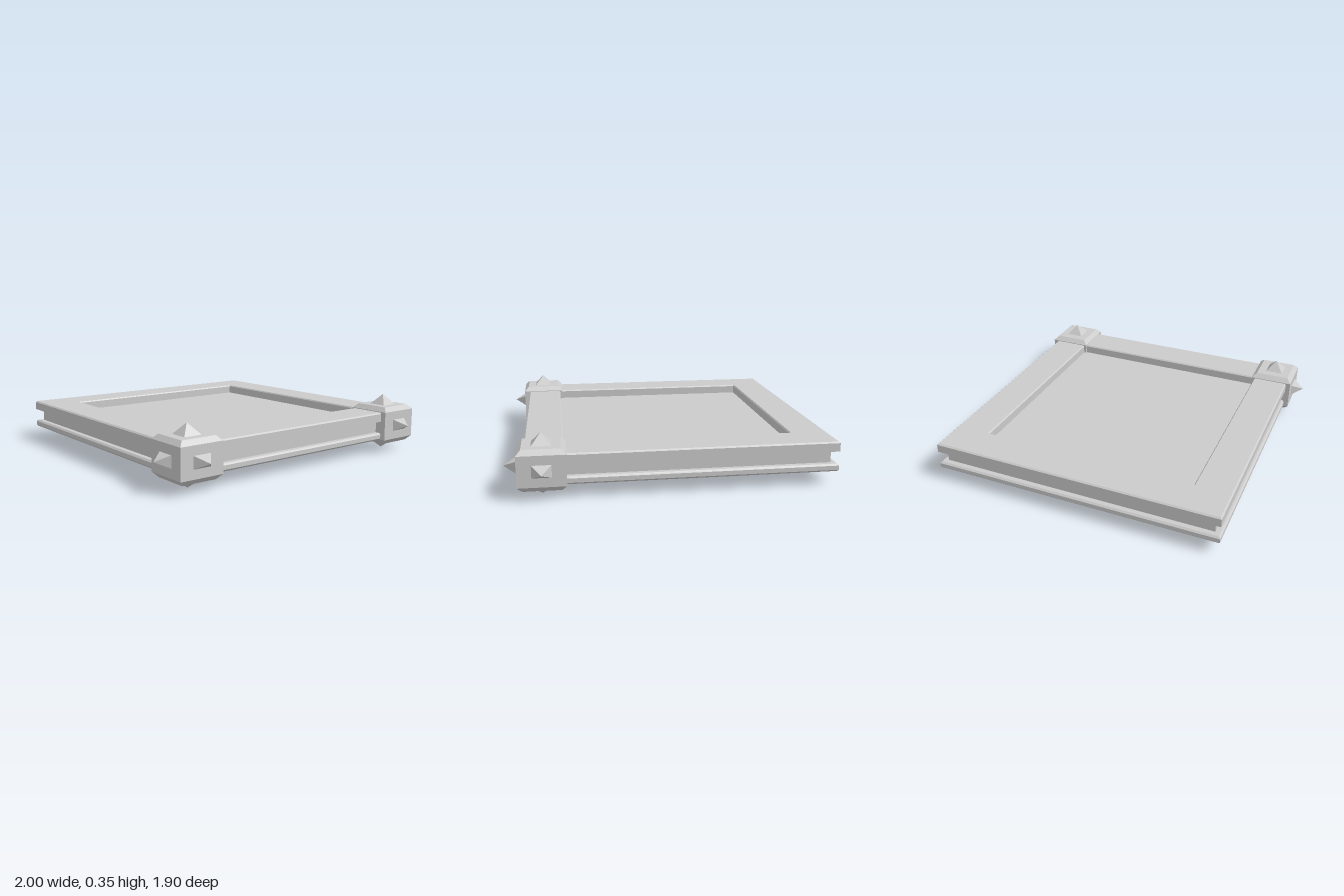
import * as THREE from 'three';

const material = new THREE.MeshStandardMaterial({ color: 0xcccccc, flatShading: true });

// Square solid turned from a [half width, height] profile, bottom to top.
function squareSolid(name, profile) {
  const points = profile.map(([h, y]) => new THREE.Vector2(h * Math.SQRT2, y));
  const geometry = new THREE.LatheGeometry(points, 4, Math.PI / 4).toNonIndexed();
  geometry.computeVertexNormals();
  const mesh = new THREE.Mesh(geometry, material);
  mesh.name = name;
  return mesh;
}

// Pyramid stud standing on a face, turned by an Euler rotation.
function stud(name, position, rotation, height, depth) {
  const mesh = squareSolid(name, [[0.055, -0.005], [0.055, 0], [0, height]]);
  mesh.position.set(...position);
  mesh.rotation.set(...rotation);
  mesh.scale.set(depth[0], 1, depth[1]);
  return mesh;
}

// Chamfered corner block with studs on its top, bottom, front and outer side.
function cornerBlock(side) {
  const group = new THREE.Group();
  group.name = side > 0 ? 'leftCornerBlock' : 'rightCornerBlock';
  group.add(squareSolid('block', [
    [0, -0.12], [0.108, -0.12], [0.136, -0.09], [0.136, 0.09], [0.108, 0.118], [0, 0.118],
  ]));
  group.add(
    stud('topStud', [0, 0.118, 0], [0, 0, 0], 0.064, [1, 1]),
    stud('bottomStud', [0, -0.12, 0], [Math.PI, 0, 0], 0.052, [1, 1]),
    stud('frontStud', [0, 0, 0.136], [Math.PI / 2, 0, 0], 0.074, [1, 0.65]),
    stud('sideStud', [side * 0.136, 0, 0], [0, 0, -side * Math.PI / 2], 0.074, [0.65, 1]),
  );
  group.position.set(side * 0.79, 0.172, 0.74);
  return group;
}

export function createModel() {
  const model = new THREE.Group();
  model.name = 'framedPlatform';

  // Slab with a groove around its edge and a sunken centre panel
  const slab = squareSolid('platform', [
    [0, 0.08], [0.888, 0.08], [0.897, 0.09], [0.897, 0.115], [0.887, 0.125],
    [0.858, 0.125], [0.858, 0.2], [0.897, 0.2], [0.897, 0.25], [0.888, 0.258],
    [0.677, 0.258], [0.67, 0.25], [0.67, 0.2], [0, 0.2],
  ]);
  slab.position.z = -0.054;
  model.add(slab);

  for (const side of [-1, 1]) model.add(cornerBlock(side));
  return model;
}
